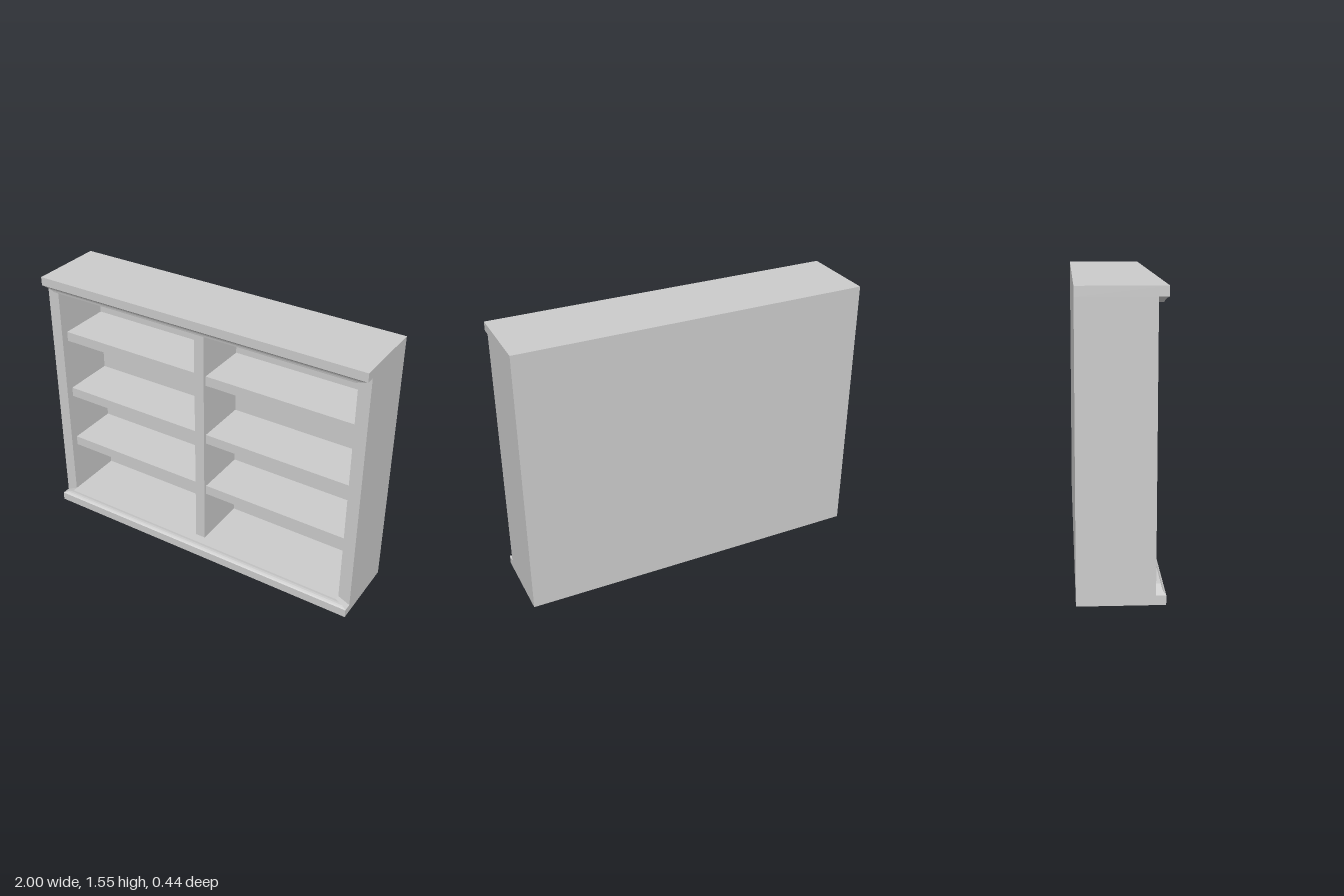
import * as THREE from 'three';

const H = 1.55, BACK = -0.22, FRONT = 0.22, BODY = 0.17;
const SLAB = 0.05, FLOOR = 0.083, INNER = 0.93;

export function createModel() {
  const group = new THREE.Group();
  const material = new THREE.MeshStandardMaterial({ color: 0xcccccc });

  function add(name, geometry) {
    const mesh = new THREE.Mesh(geometry, material);
    mesh.name = name;
    group.add(mesh);
    return mesh;
  }

  // Box given by its limits on each axis
  function box(name, x0, x1, y0, y1, z0, z1) {
    const mesh = add(name, new THREE.BoxGeometry(x1 - x0, y1 - y0, z1 - z0));
    mesh.position.set((x0 + x1) / 2, (y0 + y1) / 2, (z0 + z1) / 2);
    return mesh;
  }

  // Cove moulding: concave profile swept across the width, mitred at both ends
  function coveGeometry() {
    const shape = new THREE.Shape();
    shape.moveTo(BODY, SLAB);
    shape.lineTo(FRONT, SLAB);
    shape.quadraticCurveTo(0.203, 0.06, 0.2, FLOOR);
    shape.lineTo(BODY, FLOOR);
    shape.closePath();
    const g = new THREE.ExtrudeGeometry(shape, { depth: 2, bevelEnabled: false, curveSegments: 4 });
    g.translate(0, 0, -1);
    g.rotateY(-Math.PI / 2);
    const p = g.attributes.position;
    for (let i = 0; i < p.count; i++) {
      const t = (p.getY(i) - SLAB) / (FLOOR - SLAB);
      p.setX(i, p.getX(i) * (1 - (1 - INNER) * t));
    }
    g.computeVertexNormals();
    return g;
  }

  // Base and top: overhanging slab, inner panel and cove
  box('baseSlab', -1, 1, 0, SLAB, BACK, FRONT);
  box('floorPanel', -INNER, INNER, SLAB, FLOOR, BACK, BODY);
  add('baseCove', coveGeometry());
  box('topSlab', -1, 1, H - SLAB, H, BACK, FRONT);
  box('ceilingPanel', -INNER, INNER, H - FLOOR, H - SLAB, BACK, BODY);
  const topCove = add('topCove', coveGeometry());
  topCove.rotation.z = Math.PI;
  topCove.position.y = H;

  // Carcass
  box('leftSide', INNER, 1, SLAB, H - SLAB, BACK, BODY);
  box('rightSide', -1, -INNER, SLAB, H - SLAB, BACK, BODY);
  box('backPanel', -INNER, INNER, FLOOR, H - FLOOR, BACK, -0.19);
  box('centreDivider', -0.03, 0.03, FLOOR, H - FLOOR, -0.19, 0.145);

  // Three shelves in each bay
  for (const y of [0.397, 0.75, 1.127]) {
    box('leftShelf', 0.03, INNER, y, y + 0.058, -0.19, 0.125);
    box('rightShelf', -INNER, -0.03, y, y + 0.058, -0.19, 0.125);
  }
  return group;
}
